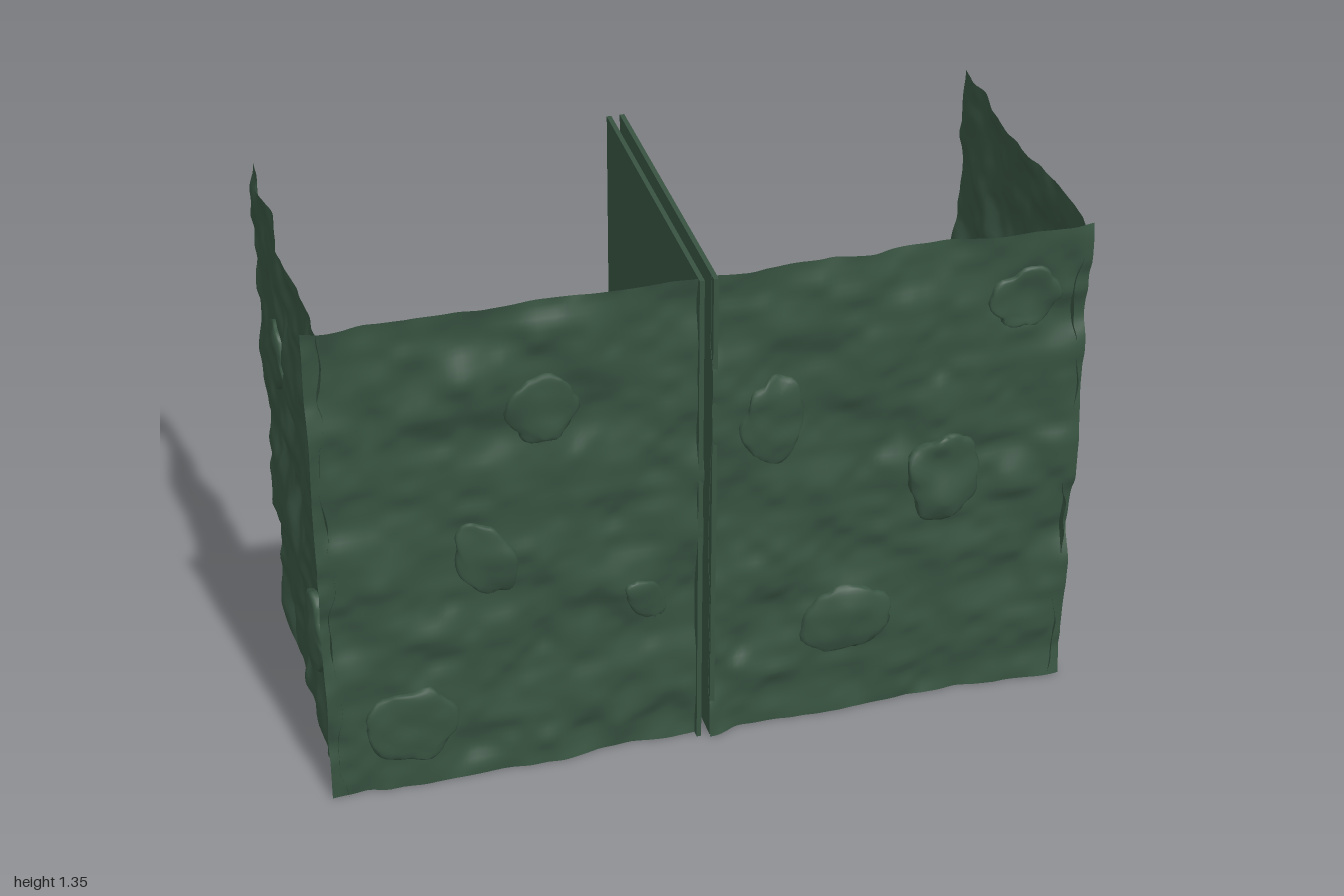
import * as THREE from 'three';
import { mergeVertices } from 'three/addons/utils/BufferGeometryUtils.js';

const BOTTOM = 0.008, TOP = 1.354;

// Smooth value noise in the range -1..1
function hash(i, j, seed) {
  const s = Math.sin(i * 127.1 + j * 311.7 + seed * 74.7) * 43758.5453;
  return (s - Math.floor(s)) * 2 - 1;
}
function noise(u, v, seed) {
  const i = Math.floor(u), j = Math.floor(v);
  const a = u - i, b = v - j;
  const s = a * a * (3 - 2 * a), t = b * b * (3 - 2 * b);
  const low = THREE.MathUtils.lerp(hash(i, j, seed), hash(i + 1, j, seed), s);
  const high = THREE.MathUtils.lerp(hash(i, j + 1, seed), hash(i + 1, j + 1, seed), s);
  return THREE.MathUtils.lerp(low, high, t);
}
const relief = (u, v, seed) =>
  0.014 * noise(u * 5, v * 6, seed) + 0.013 * noise(u * 10, v * 11, seed + 5) + 0.005 * noise(u * 22, v * 24, seed + 9);

export function createModel() {
  const model = new THREE.Group();
  const green = new THREE.MeshStandardMaterial({ color: 0x385341, side: THREE.DoubleSide });
  green.name = 'mossy green';

  // Rough sheet in its own plane: u runs from u0 to u1, relief goes along z
  function roughWall(name, u0, u1, seed, patches) {
    const group = new THREE.Group();
    group.name = name;
    const sheet = new THREE.PlaneGeometry(u1 - u0, TOP - BOTTOM, 64, 90);
    sheet.translate((u0 + u1) / 2, (TOP + BOTTOM) / 2, 0);
    const p = sheet.attributes.position;
    for (let i = 0; i < p.count; i++) p.setZ(i, relief(p.getX(i), p.getY(i), seed));
    sheet.computeVertexNormals();
    const wall = new THREE.Mesh(sheet, green);
    wall.name = name + 'Sheet';
    group.add(wall);
    // Shallow jagged lumps set into the sheet: [u, v, radiusU, radiusV, depth, tilt]
    patches.forEach(([u, v, ru, rv, depth = 0.018, tilt = 0], k) => {
      let lump = new THREE.IcosahedronGeometry(1, 6);
      lump.deleteAttribute('normal');
      lump.deleteAttribute('uv');
      lump = mergeVertices(lump);
      const q = lump.attributes.position;
      for (let i = 0; i < q.count; i++) {
        const x = q.getX(i), y = q.getY(i), z = q.getZ(i);
        const r = 1 + 0.12 * noise(x * 2.2 + 7, y * 2.2 + z, seed + k) + 0.06 * noise(x * 5, y * 5 + z * 3, seed + k);
        const px = x * r * ru, py = y * r * rv;
        const dx = px * Math.cos(tilt) - py * Math.sin(tilt);
        const dy = px * Math.sin(tilt) + py * Math.cos(tilt);
        const flat = Math.sign(z) * Math.sqrt(Math.abs(z)) * depth;
        q.setXYZ(i, u + dx, v + dy, flat + relief(u + dx, v + dy, seed));
      }
      lump.computeVertexNormals();
      const mesh = new THREE.Mesh(lump, green);
      mesh.name = 'lump';
      group.add(mesh);
    });
    model.add(group);
    return group;
  }

  // Front walls, either side of the central slit
  roughWall('frontRightWall', -0.958, -0.007, 3, [
    [-0.40, 1.06, 0.085, 0.09], [-0.55, 0.65, 0.07, 0.11, 0.018, 0.3],
    [-0.75, 0.20, 0.115, 0.11], [-0.15, 0.46, 0.045, 0.075, 0.012, 0.5],
  ]).position.z = 0.385;
  roughWall('frontLeftWall', 0.012, 0.962, 17, [
    [0.17, 0.93, 0.08, 0.12], [0.61, 0.70, 0.095, 0.125, 0.025],
    [0.37, 0.30, 0.12, 0.10], [0.80, 1.17, 0.085, 0.08],
  ]).position.z = 0.385;

  // Side walls: turned so that u = -z and the relief points along +x
  const left = roughWall('leftWall', -0.395, 0.447, 29, [
    [-0.17, 0.91, 0.105, 0.09], [0.28, 0.33, 0.075, 0.11, 0.018, -0.4],
  ]);
  left.position.x = 0.942;
  left.rotation.y = Math.PI / 2;
  const right = roughWall('rightWall', -0.395, 0.447, 41, [
    [0.20, 0.95, 0.075, 0.09], [-0.20, 0.39, 0.09, 0.115, 0.035],
  ]);
  right.position.x = -0.932;
  right.rotation.y = Math.PI / 2;

  // Twin smooth dividers running back from the slit
  for (const [name, x] of [['dividerRight', -0.015], ['dividerLeft', 0.019]]) {
    const divider = new THREE.Mesh(new THREE.BoxGeometry(0.012, TOP - BOTTOM, 0.845), green);
    divider.name = name;
    divider.position.set(x, (TOP + BOTTOM) / 2, -0.025);
    model.add(divider);
  }
  return model;
}
